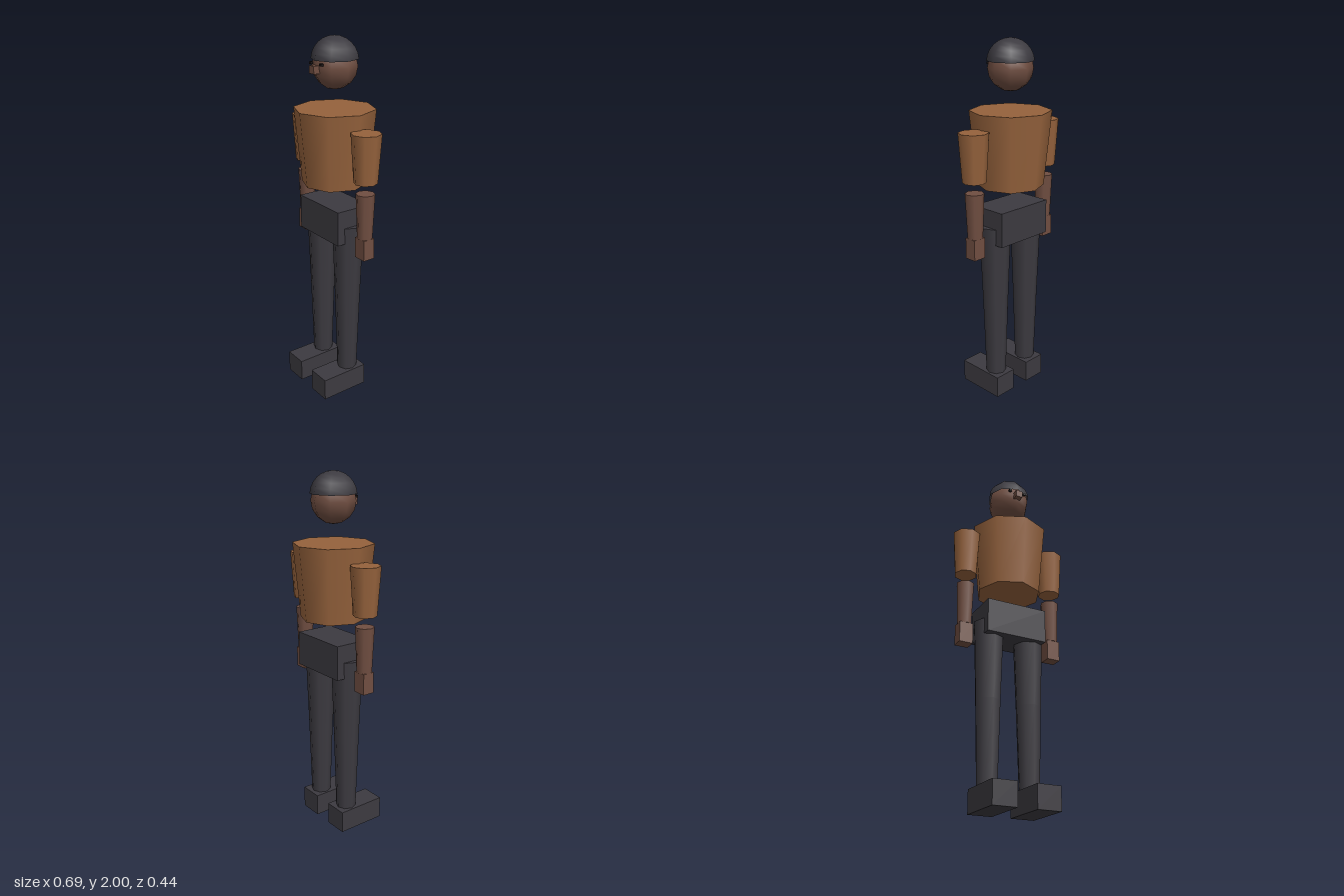
import * as THREE from 'three';

const material = (name, color, extra = {}) =>
  new THREE.MeshStandardMaterial({ name, color, ...extra });

export function createModel() {
  const shirt = material('brownShirt', 0x95623c);
  const skin = material('skin', 0x704e41);
  const cloth = material('charcoalCloth', 0x3c3a40, { side: THREE.DoubleSide });
  const eyeColor = material('darkEyes', 0x1c1616);

  const model = new THREE.Group();
  model.name = 'figure';

  const add = (name, geometry, mat, x, y, z) => {
    const mesh = new THREE.Mesh(geometry, mat);
    mesh.name = name;
    mesh.position.set(x, y, z);
    model.add(mesh);
    return mesh;
  };
  const box = (name, mat, w, h, d, x, y, z) =>
    add(name, new THREE.BoxGeometry(w, h, d), mat, x, y, z);
  // Eight-sided tapered limb between two heights
  const taper = (name, mat, rTop, rBottom, yTop, yBottom, x) =>
    add(name, new THREE.CylinderGeometry(rTop, rBottom, yTop - yBottom, 8), mat,
      x, (yTop + yBottom) / 2, 0);

  // Head, cap and nose
  add('head', new THREE.SphereGeometry(0.12, 8, 8), skin, 0, 1.848, 0);
  add('cap', new THREE.SphereGeometry(0.125, 8, 6, 0, Math.PI * 2, 0, Math.PI * 0.48),
    cloth, 0, 1.875, 0);
  box('nose', skin, 0.04, 0.04, 0.045, 0, 1.84, 0.121);

  // Torso and hips
  taper('torso', shirt, 0.22, 0.18, 1.63, 1.225, 0);
  box('hips', cloth, 0.35, 0.19, 0.215, 0, 1.025, 0);

  // Mirrored parts
  for (const [side, s] of [['left', 1], ['right', -1]]) {
    box(side + 'Eye', eyeColor, 0.015, 0.012, 0.015, s * 0.045, 1.867, 0.115);

    const arm = s * 0.267;
    taper(side + 'UpperArm', shirt, 0.08, 0.063, 1.55, 1.29, arm);
    taper(side + 'Forearm', skin, 0.051, 0.041, 1.232, 0.985, arm);
    box(side + 'Hand', skin, 0.076, 0.115, 0.068, arm, 0.928, 0);

    const leg = s * 0.12;
    taper(side + 'Thigh', cloth, 0.086, 0.07, 1.02, 0.575, leg);
    taper(side + 'Shin', cloth, 0.07, 0.056, 0.575, 0.12, leg);
    box(side + 'Foot', cloth, 0.134, 0.125, 0.282, leg, 0.0625, 0.063);
  }
  return model;
}
